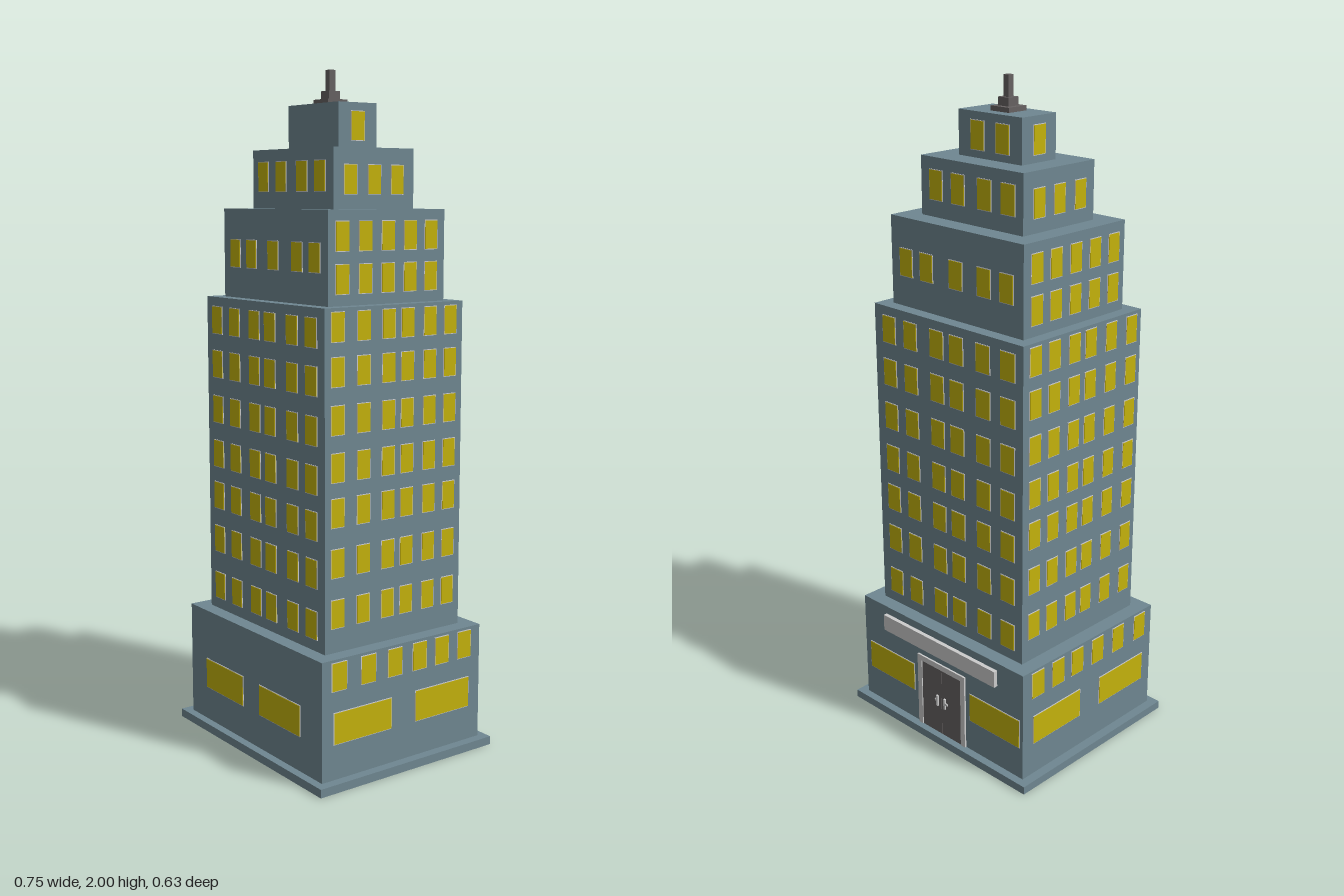
import * as THREE from 'three';

const mat = (color) => new THREE.MeshStandardMaterial({ color, flatShading: true });
const stone = mat(0x6f8791);
const glass = mat(0xc4b20c);
const trim = mat(0xcccccc);
const dark = mat(0x666262);

function box(parent, name, material, w, h, d, x, y, z) {
  const m = new THREE.Mesh(new THREE.BoxGeometry(w, h, d), material);
  m.name = name;
  m.position.set(x, y, z);
  parent.add(m);
  return m;
}

// Rectangular tube standing on y0, w and d are half sizes
function ring(parent, name, w, d, t, y0, y1) {
  const rect = (S, a, b) => new S([[-a, -b], [a, -b], [a, b], [-a, b]].map(([x, y]) => new THREE.Vector2(x, y)));
  const shape = rect(THREE.Shape, w, d);
  shape.holes.push(rect(THREE.Path, w - t, d - t));
  const geo = new THREE.ExtrudeGeometry(shape, { depth: y1 - y0, bevelEnabled: false });
  geo.rotateX(-Math.PI / 2);
  const m = new THREE.Mesh(geo, stone);
  m.name = name;
  m.position.y = y0;
  parent.add(m);
}

// Facade group: local z = 0 is the wall surface, local x runs along the wall
const ANGLE = { front: 0, back: Math.PI, left: Math.PI / 2, right: -Math.PI / 2 };
const SIGN = { front: 1, back: -1, left: -1, right: 1 };
function facade(parent, side, tier) {
  const outer = new THREE.Group();
  outer.name = side + 'Facade';
  outer.rotation.y = ANGLE[side];
  const g = new THREE.Group();
  g.position.z = side === 'front' || side === 'back' ? tier.d : tier.w;
  outer.add(g);
  parent.add(outer);
  return g;
}

function windows(parent, side, tier, { at, rows, w, h }) {
  const g = facade(parent, side, tier);
  for (const y of rows) for (const p of at) {
    const u = p * SIGN[side];
    box(g, 'windowFrame', trim, w + 0.004, h + 0.004, 0.008, u, y, -0.002);
    box(g, 'windowPane', glass, w, h, 0.003, u, y, 0.0018);
  }
}

const shop = { at: [-0.154, 0.14], rows: [0.175], w: 0.204, h: 0.09 };
const tiers = [
  {
    name: 'groundTier', w: 0.347, d: 0.292, y0: 0.025, y1: 0.375,
    front: [shop],
    back: [{ ...shop, at: [-0.232, 0.22] }],
    sides: [
      { at: [-0.146, 0.149], rows: [0.175], w: 0.204, h: 0.09 },
      { at: [-0.23, -0.143, -0.058, 0.034, 0.13, 0.233], rows: [0.325], w: 0.05, h: 0.08 },
    ],
  },
  {
    name: 'mainTier', w: 0.3, d: 0.247, y0: 0.375, y1: 1.342,
    front: [{
      at: [-0.243, -0.148, -0.043, 0.037, 0.147, 0.238],
      rows: [0.45, 0.598, 0.735, 0.865, 1.002, 1.14, 1.273], w: 0.052, h: 0.08,
    }],
    sides: [{
      at: [-0.2, -0.124, -0.042, 0.026, 0.114, 0.204],
      rows: [0.487, 0.632, 0.775, 0.902, 1.034, 1.167, 1.29], w: 0.044, h: 0.08,
    }],
  },
  {
    name: 'upperTier', w: 0.262, d: 0.207, y0: 1.342, y1: 1.604,
    front: [{ at: [-0.2, -0.114, -0.003, 0.116, 0.2], rows: [1.473], w: 0.05, h: 0.08 }],
    sides: [{ at: [-0.156, -0.08, 0, 0.08, 0.16], rows: [1.415, 1.532], w: 0.044, h: 0.08 }],
  },
  {
    name: 'highTier', w: 0.199, d: 0.143, y0: 1.604, y1: 1.774,
    front: [{ at: [-0.143, -0.053, 0.05, 0.138], rows: [1.696], w: 0.05, h: 0.084 }],
    sides: [{ at: [-0.082, 0, 0.085], rows: [1.686], w: 0.043, h: 0.08 }],
  },
  {
    name: 'topTier', w: 0.122, d: 0.068, y0: 1.774, y1: 1.902,
    front: [],
    back: [{ at: [-0.05, 0.047], rows: [1.837], w: 0.05, h: 0.08 }],
    sides: [{ at: [0], rows: [1.837], w: 0.046, h: 0.08 }],
  },
];

export function createModel() {
  const model = new THREE.Group();
  model.name = 'tower';

  // Plinth around the open underside
  ring(model, 'plinth', 0.376, 0.317, 0.033, 0, 0.025);

  // Stepped tiers with windows on all four faces
  tiers.forEach((t, i) => {
    const g = new THREE.Group();
    g.name = t.name;
    model.add(g);
    if (i === 0) {
      ring(g, 'walls', t.w, t.d, 0.005, t.y0, t.y1);
      box(g, 'roof', stone, 2 * t.w - 0.008, 0.01, 2 * t.d - 0.008, 0, t.y1 - 0.005, 0);
    } else {
      box(g, 'walls', stone, 2 * t.w, t.y1 - t.y0, 2 * t.d, 0, (t.y0 + t.y1) / 2, 0);
    }
    t.front.forEach((o) => windows(g, 'front', t, o));
    (t.back || t.front).forEach((o) => windows(g, 'back', t, o));
    for (const side of ['left', 'right']) t.sides.forEach((o) => windows(g, side, t, o));
  });

  // Entrance at the back: framed double door with handles, blank sign board above
  const entrance = facade(model, 'back', tiers[0]);
  entrance.name = 'entrance';
  const doorX = 0.007;
  for (const s of [-1, 1]) {
    box(entrance, 'doorPost', trim, 0.018, 0.245, 0.01, doorX + s * 0.094, 0.1475, 0.001);
    box(entrance, 'doorLeaf', dark, 0.084, 0.227, 0.007, doorX + s * 0.0425, 0.1385, 0);
    box(entrance, 'doorHandle', trim, 0.007, 0.036, 0.006, doorX + s * 0.016, 0.14, 0.006);
    box(entrance, 'handleMount', trim, 0.014, 0.007, 0.005, doorX + s * 0.02, 0.14, 0.005);
  }
  box(entrance, 'doorLintel', trim, 0.17, 0.018, 0.01, doorX, 0.261, 0.001);
  box(entrance, 'signBoard', trim, 0.485, 0.052, 0.013, 0.003, 0.326, 0.0085);

  // Rooftop mast in three steps
  const mast = new THREE.Group();
  mast.name = 'mast';
  mast.position.x = -0.003;
  model.add(mast);
  [[0.07, 1.902, 1.916], [0.04, 1.916, 1.94], [0.02, 1.94, 2]].forEach(([w, a, b]) =>
    box(mast, 'mastStep', dark, w, b - a, w, 0, (a + b) / 2, 0.003));

  return model;
}
